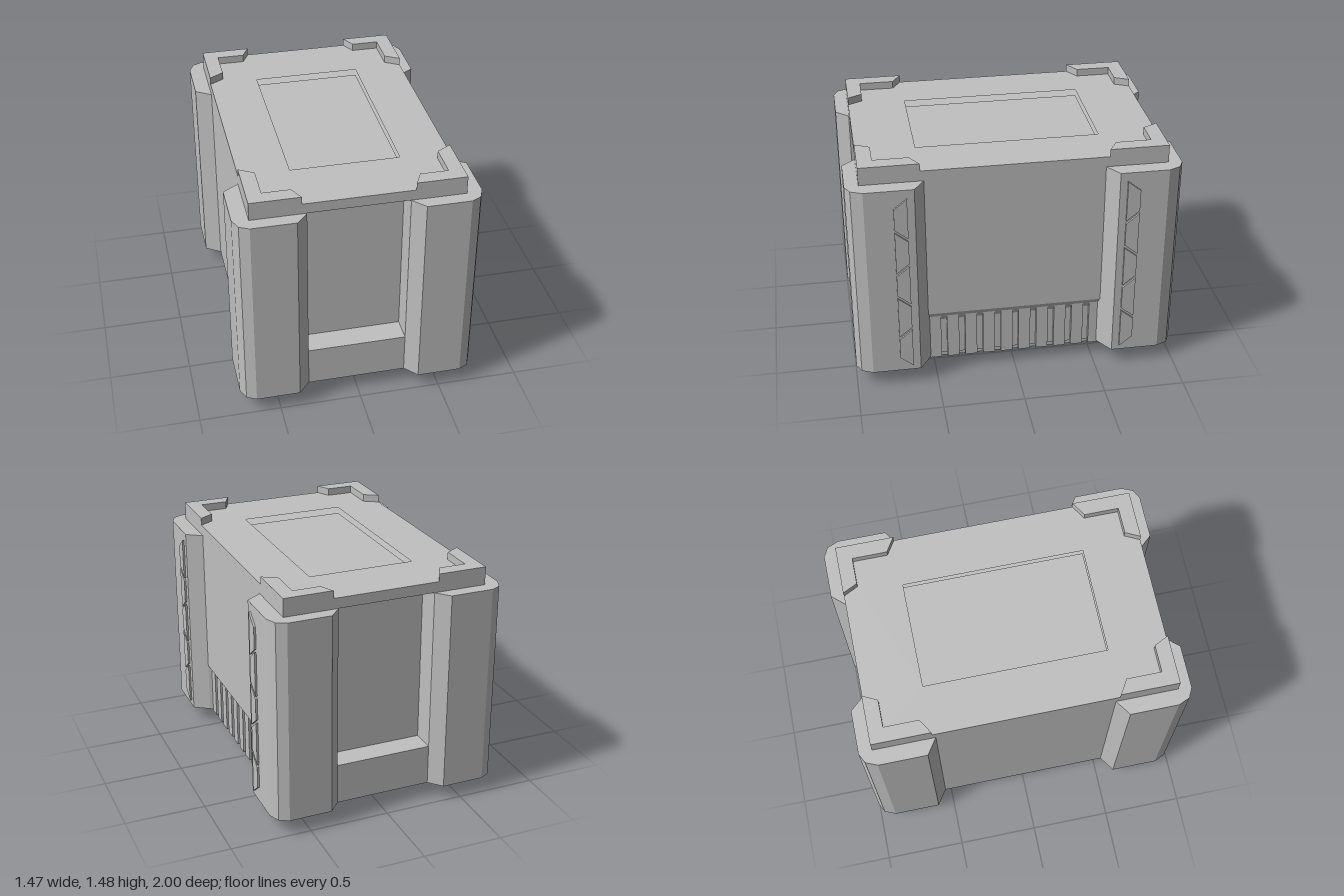
import * as THREE from 'three';

const grey = new THREE.MeshStandardMaterial({ color: 0xc0c0c0 });
grey.name = 'plain grey';

const shapeOf = (pts) => new THREE.Shape(pts.map(([a, b]) => new THREE.Vector2(a, b)));

export function createModel() {
  const model = new THREE.Group();
  model.name = 'crate';
  const body = new THREE.Group();
  body.name = 'body';
  body.position.x = -0.007;
  model.add(body);

  const add = (name, geometry) => {
    const mesh = new THREE.Mesh(geometry, grey);
    mesh.name = name;
    body.add(mesh);
    return mesh;
  };

  // Box given by its lower and upper limits
  const box = (name, x0, x1, y0, y1, z0, z1) =>
    add(name, new THREE.BoxGeometry(x1 - x0, y1 - y0, z1 - z0))
      .position.set((x0 + x1) / 2, (y0 + y1) / 2, (z0 + z1) / 2);

  // Plan outline of [x, z] points raised from y0 to y1, with an optional hole
  const plan = (name, pts, y0, y1, hole) => {
    const flip = (list) => shapeOf(list.map(([x, z]) => [x, -z]));
    const shape = flip(pts);
    if (hole) shape.holes.push(flip(hole));
    const g = new THREE.ExtrudeGeometry(shape, { depth: y1 - y0, bevelEnabled: false });
    add(name, g.rotateX(-Math.PI / 2).translate(0, y0, 0));
  };

  const rect = (x, z) => [[-x, -z], [x, -z], [x, z], [-x, z]];

  // Core, undercut along the lower right side
  const core = new THREE.ExtrudeGeometry(shapeOf([
    [-0.633, 0.1], [0.587, 0.1], [0.587, 0.355], [0.633, 0.43], [0.633, 1.365], [-0.633, 1.365],
  ]), { depth: 1.54, bevelEnabled: false });
  add('core', core.translate(0, 0, -0.77));

  // Base and lid with a sunken panel
  box('base', -0.48, 0.48, 0, 0.1, -0.735, 0.735);
  plan('lid', rect(0.633, 0.918), 1.365, 1.43, rect(0.33, 0.558));
  box('lidPanel', -0.33, 0.33, 1.36, 1.39, -0.558, 0.558);

  // Corner posts and raised lid corners
  const post = [[0.302, 0.92], [0.373, 1], [0.64, 1], [0.699, 0.97], [0.729, 0.9],
    [0.729, 0.605], [0.633, 0.54], [0.302, 0.54]];
  const lidCorner = [[0.633, 0.918], [0.33, 0.918], [0.375, 0.828], [0.543, 0.828],
    [0.543, 0.615], [0.633, 0.56]];
  for (const sx of [1, -1]) {
    for (const sz of [1, -1]) {
      const mirror = (pts) => pts.map(([x, z]) => [x * sx, z * sz]);
      plan('cornerPost', mirror(post), 0.1, 1.365);
      plan('lidCorner', mirror(lidCorner), 1.43, 1.477);
    }
  }

  for (const s of [1, -1]) {
    // Sill below the front and back recesses
    box('sill', -0.302, 0.302, 0.1, 0.355, Math.min(s * 0.77, s * 0.92), Math.max(s * 0.77, s * 0.92));

    // Slanted ends of the side undercut
    plan('undercutEnd', [[0.633, s * 0.54], [0.58, s * 0.54], [0.587, s * 0.52]], 0.1, 0.43);

    // Interlocking chevron plates on the right posts, as [z, y] outlines
    for (let i = 0; i < 5; i++) {
      const y = 1.178 - i * 0.2275;
      const inner = i % 2 ? 0.075 : 0.133;
      const outer = i % 2 ? 0.14 : 0.068;
      const g = new THREE.ExtrudeGeometry(shapeOf([
        [-0.65 * s, y + inner], [-0.73 * s, y + outer], [-0.73 * s, y - outer], [-0.65 * s, y - inner],
      ]), { depth: 0.012, bevelEnabled: false });
      add('sidePlate', g.rotateY(Math.PI / 2).translate(0.729, 0, 0));
    }
  }

  // Ribs in the side undercut
  for (let i = 0; i < 10; i++) {
    const z = -0.008 + (i - 4.5) * 0.1125;
    box('rib', 0.58, 0.612, 0.087, 0.396, z - 0.037, z + 0.037);
  }

  return model;
}
